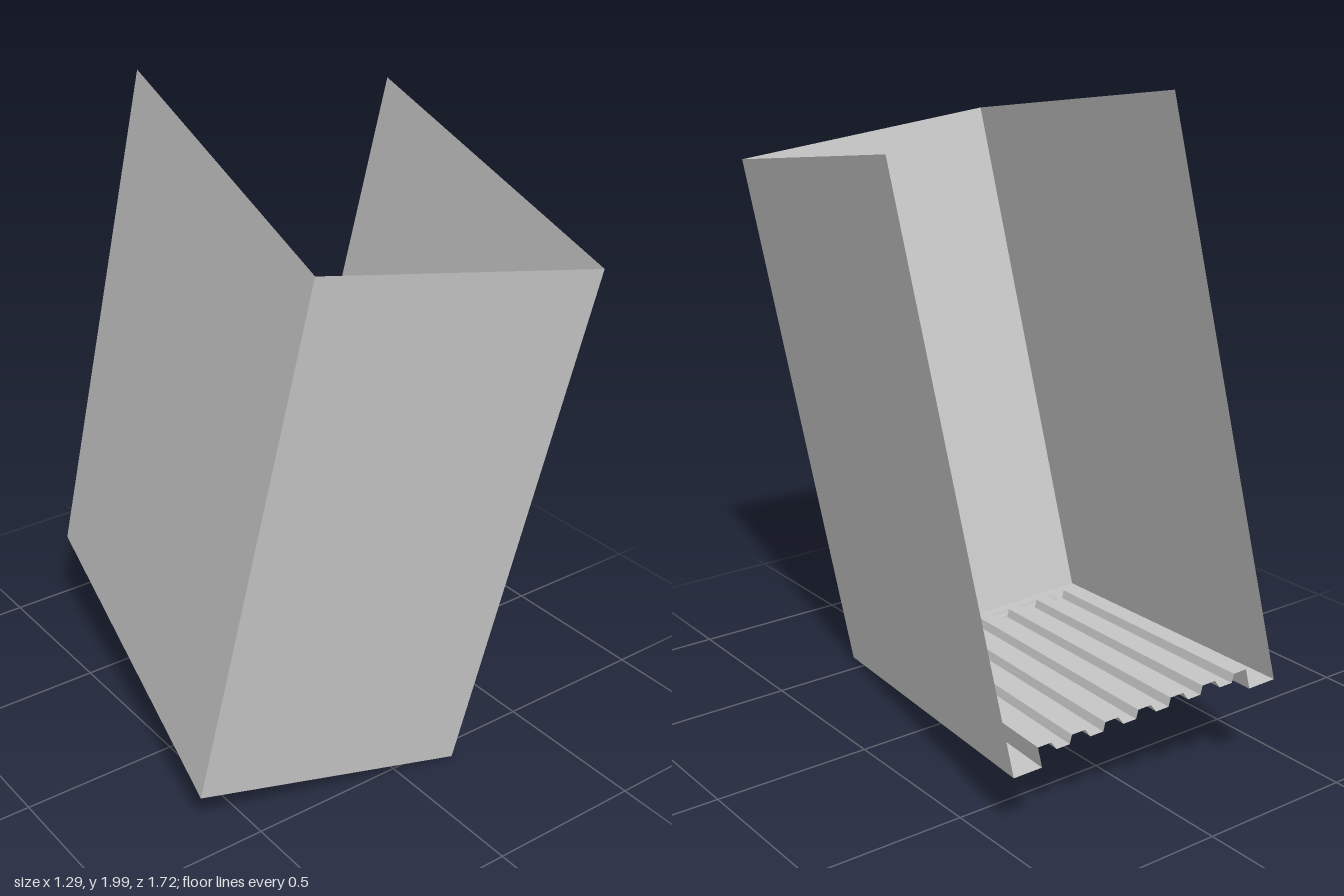
import * as THREE from 'three';
import { mergeGeometries } from 'three/addons/utils/BufferGeometryUtils.js';

// Local frame of the bin: u runs across, h up, w from front to back
const WIDTH = 0.849, HEIGHT = 1.714, DEPTH = 1.302;
const material = new THREE.MeshStandardMaterial({ color: 0xcccccc, side: THREE.DoubleSide, flatShading: true });

const point = ([u, h, w]) => new THREE.Vector3(u, h, -w);

// Flat four-cornered panel
function quad(...corners) {
  const [a, b, c, d] = corners.map(point);
  const g = new THREE.BufferGeometry().setFromPoints([a, b, c, a, c, d]);
  g.computeVertexNormals();
  return g;
}

function part(name, geometries) {
  const mesh = new THREE.Mesh(geometries.length > 1 ? mergeGeometries(geometries) : geometries[0], material);
  mesh.name = name;
  return mesh;
}

// Flat horizontal sheet from [u, w] outlines
function sheet(outline, holes, h) {
  const vec = (pts) => pts.map(([u, w]) => new THREE.Vector2(u, w));
  const shape = new THREE.Shape(vec(outline));
  holes.forEach((pts) => shape.holes.push(new THREE.Path(vec(pts))));
  return new THREE.ShapeGeometry(shape).rotateX(-Math.PI / 2).translate(0, h, 0);
}

// Raised rib, hollow from below
function pressedRib(name, outline, h) {
  const walls = outline.map(([u, w], i) => {
    const [u2, w2] = outline[(i + 1) % outline.length];
    return quad([u, 0, w], [u2, 0, w2], [u2, h, w2], [u, h, w]);
  });
  const group = new THREE.Group();
  group.name = name;
  group.add(part(name + 'Top', [sheet(outline, [], h)]), part(name + 'Sides', walls));
  return group;
}

export function createModel() {
  const bin = new THREE.Group();
  bin.name = 'bin';

  // Three upright walls, open at the top and back
  bin.add(part('frontWall', [quad([0, 0, 0], [WIDTH, 0, 0], [WIDTH, HEIGHT, 0], [0, HEIGHT, 0])]));
  for (const [name, u] of [['rightWall', 0], ['leftWall', WIDTH]]) {
    bin.add(part(name, [quad([u, 0, 0], [u, 0, DEPTH], [u, HEIGHT, DEPTH], [u, HEIGHT, 0])]));
  }

  // Floor frame around the raised bed and the cross ribs
  const u0 = 0.085, u1 = 0.762, w0 = 0.206;
  const frontRib = [[0.12, 0.074], [0.727, 0.074], [0.727, 0.122], [0.12, 0.122]];
  const rearRib = [[0.148, 0.165], [0.165, 0.145], [0.68, 0.145], [0.7, 0.165], [0.68, 0.185], [0.165, 0.185]];
  const frame = [[0, 0], [WIDTH, 0], [WIDTH, DEPTH], [u1, DEPTH], [u1, w0], [u0, w0], [u0, DEPTH], [0, DEPTH]];
  bin.add(part('floorFrame', [sheet(frame, [frontRib, rearRib], 0)]));
  bin.add(pressedRib('frontCrossRib', frontRib, 0.03));
  bin.add(pressedRib('rearCrossRib', rearRib, 0.03));

  // Corrugated bed: trapezoid waves running front to back
  const high = 0.06, low = 0.036, waves = 6, slope = 0.012;
  const flat = (u1 - u0 - waves * 2 * slope) / (waves * 2 + 1);
  const profile = [[u0, 0]];
  let u = u0;
  for (let i = 0; i <= waves * 2; i++) {
    const h = i % 2 ? low : high;
    profile.push([u, h], [u + flat, h]);
    u += flat + slope;
  }
  profile.push([u1, 0]);
  const bed = [], bedEnd = [];
  for (let i = 0; i < profile.length - 1; i++) {
    const [ua, ha] = profile[i], [ub, hb] = profile[i + 1];
    bed.push(quad([ua, ha, w0], [ub, hb, w0], [ub, hb, DEPTH], [ua, ha, DEPTH]));
    if (ub > ua) bedEnd.push(quad([ua, 0, w0], [ub, 0, w0], [ub, hb, w0], [ua, ha, w0]));
  }
  bin.add(part('corrugatedBed', bed), part('bedFrontEnd', bedEnd));

  // Row of thin pads under the front edge
  for (const [a, b] of [[0.08, 0.223], [0.268, 0.356], [0.397, 0.481], [0.515, 0.596], [0.66, 0.81]]) {
    const pad = part('footPad', [new THREE.BoxGeometry(b - a, 0.014, 0.044)]);
    pad.position.set((a + b) / 2, -0.007, -0.04);
    bin.add(pad);
  }

  // Tilt the whole bin into its leaning pose
  const across = new THREE.Vector3(0.825, -0.12, 0.163).normalize();
  const forward = new THREE.Vector3(-0.275, -0.19, 1.258).normalize();
  const up = forward.clone().cross(across).normalize();
  forward.crossVectors(across, up);
  bin.quaternion.setFromRotationMatrix(new THREE.Matrix4().makeBasis(across, up, forward));
  bin.position.set(-0.643, 0.13, 0.402);

  const model = new THREE.Group();
  model.name = 'model';
  model.add(bin);
  return model;
}
